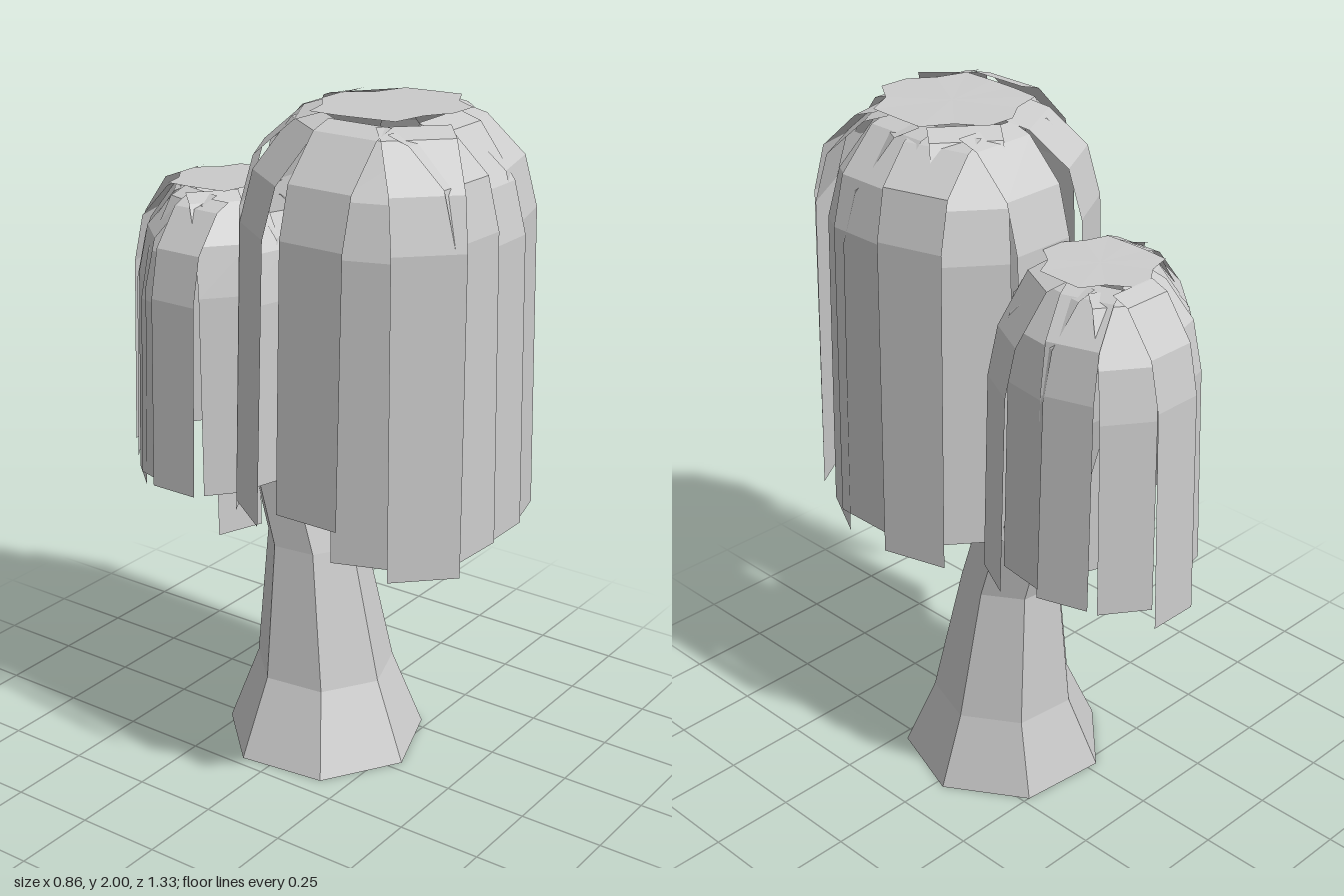
import * as THREE from 'three';

const leafMat = new THREE.MeshStandardMaterial({ color: 0xcccccc, flatShading: true, side: THREE.DoubleSide });
const woodMat = new THREE.MeshStandardMaterial({ color: 0xcccccc, flatShading: true });

// Seven-sided limb through rings [x, y, z, radius], capped at both ends
function limb(name, rings) {
  const sides = 7, pos = [], index = [];
  for (const [x, y, z, r] of rings) {
    for (let i = 0; i < sides; i++) {
      const a = -0.12 + (i / sides) * Math.PI * 2;
      pos.push(x + Math.cos(a) * r, y, z + Math.sin(a) * r);
    }
  }
  for (let k = 0; k < rings.length - 1; k++) {
    for (let i = 0; i < sides; i++) {
      const a = k * sides + i, b = k * sides + (i + 1) % sides;
      index.push(a, a + sides, b, b, a + sides, b + sides);
    }
  }
  const top = (rings.length - 1) * sides;
  for (let i = 1; i < sides - 1; i++) {
    index.push(0, i, i + 1, top, top + i + 1, top + i);
  }
  const geo = new THREE.BufferGeometry();
  geo.setAttribute('position', new THREE.Float32BufferAttribute(pos, 3));
  geo.setIndex(index);
  geo.computeVertexNormals();
  const mesh = new THREE.Mesh(geo, woodMat);
  mesh.name = name;
  return mesh;
}

// Flat ribbon of foliage: leaves the crown top, bends over and hangs down
function strand(R, top, width, [x, z, degrees, bottom], i) {
  const a = THREE.MathUtils.degToRad(degrees), ux = Math.cos(a), uz = Math.sin(a);
  const lift = [-0.004, -0.016, -0.008, -0.012][i % 4];
  const drop = [0, 0.03, -0.015][i % 3];
  // [distance in from the hanging end, height]
  const profile = [
    [R * 0.56, top + lift],
    [R * 0.4, top - 0.02 + lift],
    [R * 0.14, top - 0.14 - drop],
    [R * 0.05, top - 0.28 - drop],
    [0, bottom],
  ];
  const geo = new THREE.PlaneGeometry(width, 1, 1, profile.length - 1);
  const p = geo.attributes.position;
  for (let v = 0; v < p.count; v++) {
    const [inset, y] = profile[Math.floor(v / 2)];
    const s = p.getX(v);
    p.setXYZ(v, x - ux * inset + uz * s, y, z - uz * inset - ux * s);
  }
  geo.computeVertexNormals();
  const mesh = new THREE.Mesh(geo, leafMat);
  mesh.name = 'hangingStrand';
  return mesh;
}

// Crown = ragged, slightly tilted top plus a ring of hanging strands
function crown(name, [cx, cz], top, R, capRadius, width, strands) {
  const group = new THREE.Group();
  group.name = name;
  const geo = new THREE.CircleGeometry(capRadius, 15);
  geo.rotateX(-Math.PI / 2);
  const p = geo.attributes.position;
  for (let v = 1; v < p.count; v++) {
    const k = 1 + 0.12 * Math.sin(((v - 1) % 15) * 2.3);
    p.setXYZ(v, p.getX(v) * k, p.getZ(v) * 0.03, p.getZ(v) * k);
  }
  geo.translate(cx, top, cz);
  const cap = new THREE.Mesh(geo, leafMat);
  cap.name = 'crownTop';
  group.add(cap);
  strands.forEach((s, i) => group.add(strand(R, top, width, s, i)));
  return group;
}

export function createModel() {
  const model = new THREE.Group();
  model.name = 'weepingTree';

  // Flared trunk leaning back, with a branch into the taller crown
  model.add(limb('trunk', [
    [0.07, 0, 0.008, 0.305], [0.09, 0.23, -0.01, 0.212], [0.09, 0.64, -0.045, 0.148],
    [0.09, 0.85, -0.11, 0.143], [0.06, 1.25, -0.27, 0.09], [0.04, 1.6, -0.34, 0.05],
  ]));
  model.add(limb('branch', [
    [0.09, 0.5, -0.04, 0.12], [0.09, 0.85, -0.03, 0.11],
    [0.05, 1.3, 0.13, 0.09], [0.01, 1.85, 0.23, 0.05],
  ]));

  // Strand ends: [x, z, heading in degrees from +x towards +z, bottom height]
  model.add(crown('tallCrown', [0.02, 0.25], 1.99, 0.42, 0.205, 0.195, [
    [-0.435, 0.3, 180, 0.96], [-0.315, 0.01, 215, 0.87], [-0.175, -0.115, 242, 0.84],
    [0.1, -0.195, 270, 0.86], [0.28, -0.1, 308, 0.85], [0.4, 0.035, 344, 0.79],
    [0.415, 0.225, 0, 0.84], [0.375, 0.37, 28, 0.79], [0.265, 0.535, 58, 0.84],
    [0.17, 0.61, 75, 0.85], [0, 0.645, 90, 0.86], [-0.155, 0.65, 93, 0.86],
    [-0.315, 0.595, 135, 0.83], [-0.37, 0.45, 160, 0.85],
  ]));
  model.add(crown('lowCrown', [0.05, -0.33], 1.7, 0.32, 0.155, 0.15, [
    [0.1, -0.665, 270, 0.78], [0.23, -0.605, 305, 0.83], [0.32, -0.46, 342, 0.83],
    [0.335, -0.32, 8, 0.86], [0.325, -0.2, 27, 0.8], [0.23, -0.12, 50, 0.85],
    [0.09, -0.09, 85, 0.86], [-0.06, -0.09, 105, 0.85], [-0.2, -0.14, 130, 0.85],
    [-0.3, -0.265, 180, 0.86], [-0.26, -0.36, 195, 0.86], [-0.205, -0.46, 222, 0.83],
    [-0.1, -0.56, 235, 0.86], [-0.05, -0.22, 110, 0.66], [0.0, -0.62, 255, 0.87],
  ]));
  return model;
}
